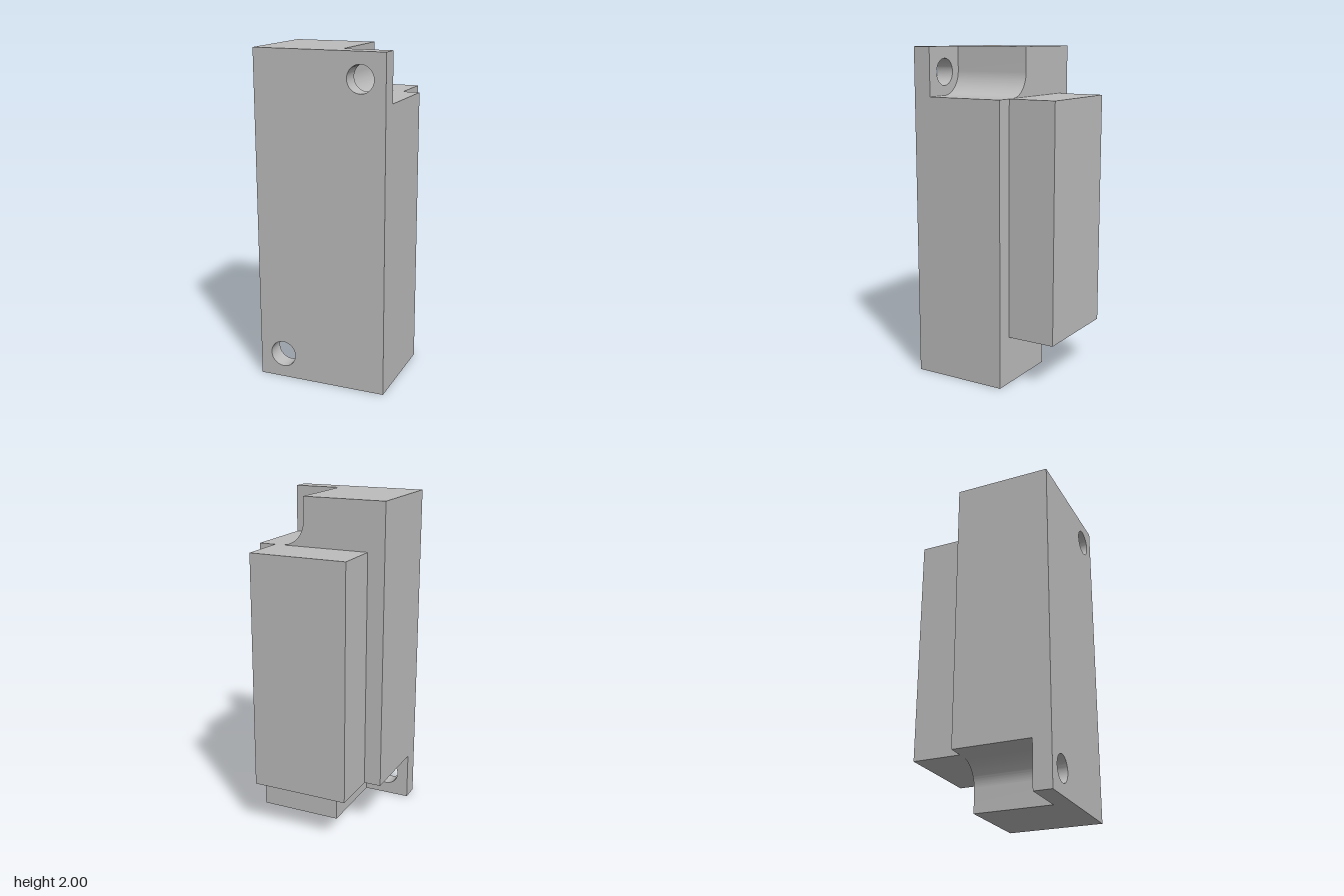
import * as THREE from 'three';
import { toCreasedNormals } from 'three/addons/utils/BufferGeometryUtils.js';

const FRONT = 0.364, BACK = -0.434;          // depth limits of the housing
const LEFT = -0.421, PLATE = -0.31, RIGHT = 0.17; // width limits
const HEIGHT = 2, NOTCH = 0.29, FILLET = 0.145, HOLE = 0.08;

// Extrudes a side profile (x = -depth, y = height) across the width
function acrossWidth(shape, from, to) {
  const geo = new THREE.ExtrudeGeometry(shape, {
    depth: to - from, bevelEnabled: false, curveSegments: 24,
  });
  geo.rotateY(Math.PI / 2);
  geo.translate(from, 0, 0);
  return toCreasedNormals(geo, 0.5);
}

export function createModel() {
  const model = new THREE.Group();
  const grey = new THREE.MeshStandardMaterial({ color: 0xbcbcbc });
  grey.name = 'plain grey';

  const add = (name, geometry) => {
    const mesh = new THREE.Mesh(geometry, grey);
    mesh.name = name;
    model.add(mesh);
    return mesh;
  };

  // Main housing with a filleted notch at the lower back and upper front
  const body = new THREE.Shape();
  const backWall = -BACK - NOTCH, frontWall = -FRONT + NOTCH;
  body.moveTo(-FRONT, 0);
  body.lineTo(backWall, 0);
  body.lineTo(backWall, NOTCH - FILLET);
  body.absarc(backWall + FILLET, NOTCH - FILLET, FILLET, Math.PI, Math.PI / 2, true);
  body.lineTo(-BACK, NOTCH);
  body.lineTo(-BACK, HEIGHT);
  body.lineTo(frontWall, HEIGHT);
  body.lineTo(frontWall, HEIGHT - NOTCH + FILLET);
  body.absarc(frontWall - FILLET, HEIGHT - NOTCH + FILLET, FILLET, 0, -Math.PI / 2, true);
  body.lineTo(-FRONT, HEIGHT - NOTCH);
  body.closePath();
  add('housing', acrossWidth(body, PLATE, RIGHT));

  // Full-height mounting plate with two screw holes
  const plate = new THREE.Shape();
  plate.moveTo(-FRONT, 0);
  plate.lineTo(-BACK, 0);
  plate.lineTo(-BACK, HEIGHT);
  plate.lineTo(-FRONT, HEIGHT);
  plate.closePath();
  for (const [x, y] of [[-0.215, HEIGHT - 0.15], [0.285, 0.15]]) {
    const hole = new THREE.Path();
    hole.absarc(x, y, HOLE, 0, Math.PI * 2, true);
    plate.holes.push(hole);
  }
  add('mountingPlate', acrossWidth(plate, LEFT, PLATE));

  // Raised block on the side
  const block = add('sideBlock', new THREE.BoxGeometry(0.296, HEIGHT - 2 * NOTCH, 0.591));
  block.position.set(RIGHT + 0.148, HEIGHT / 2, -0.035);

  // The whole unit stands turned about its upright axis
  model.rotation.y = Math.PI / 12;
  const root = new THREE.Group();
  model.name = 'switchUnit';
  root.add(model);
  return root;
}
